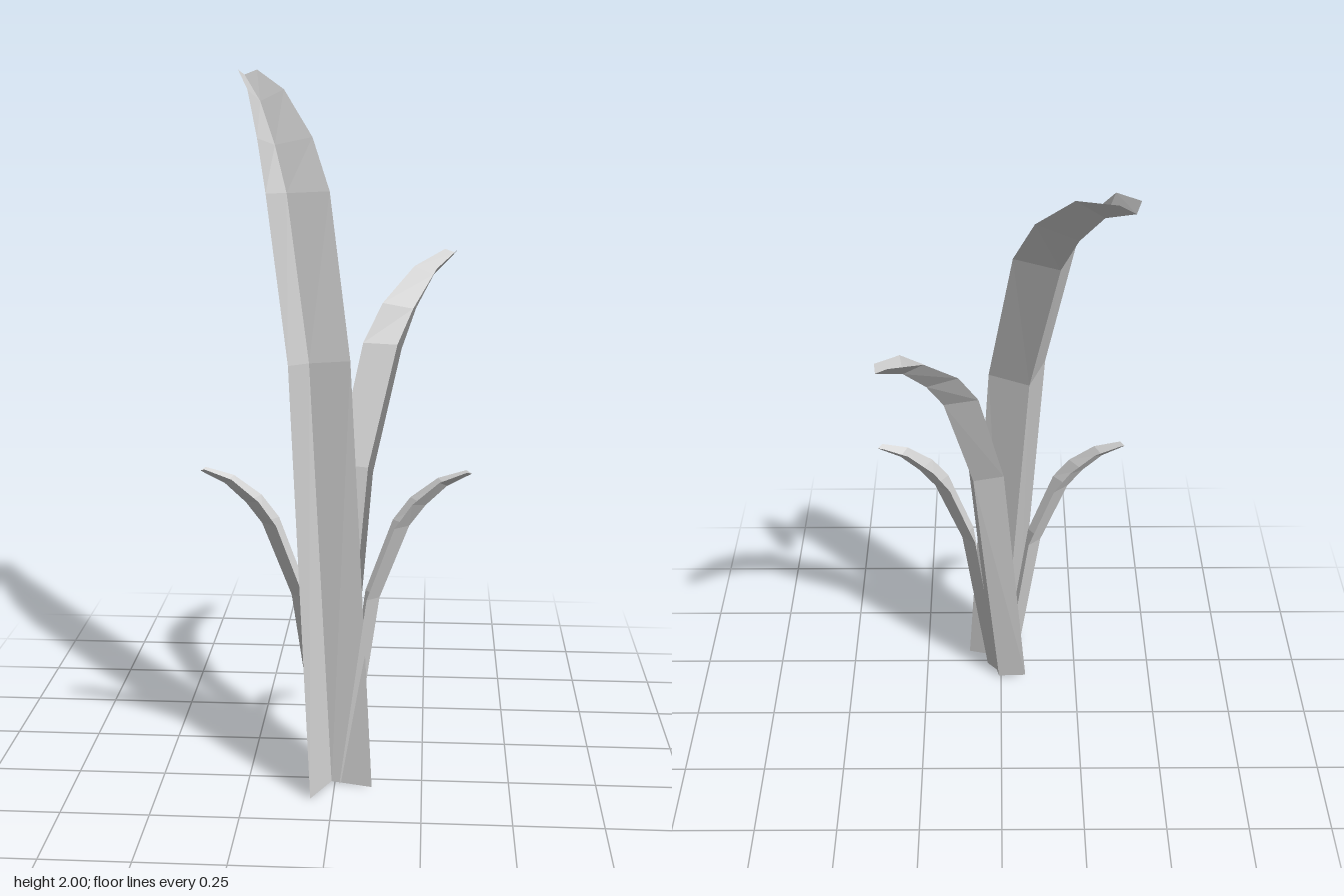
import * as THREE from 'three';

// Sections of a full-size leaf from root to tip:
// [keel reach, keel height, rim reach, rim height, half width]
const SECTIONS = [
  [0, 0, -0.076, 0, 0.094],
  [0.172, 1.20, 0.089, 1.215, 0.092],
  [0.35, 1.66, 0.255, 1.67, 0.095],
  [0.448, 1.79, 0.36, 1.815, 0.083],
  [0.576, 1.91, 0.525, 1.945, 0.056],
  [0.724, 1.985, 0.694, 2.0, 0.03],
];

const material = new THREE.MeshStandardMaterial({
  color: 0xcccccc,
  flatShading: true,
  side: THREE.DoubleSide,
});

// A V-folded blade that starts at (x, z) and arches towards (dx, dz)
function makeLeaf(name, x, z, dx, dz, scale) {
  const length = Math.hypot(dx, dz);
  const ux = dx / length, uz = dz / length;
  const positions = [], indices = [];
  const addPoint = (reach, height, side) => positions.push(
    x + (ux * reach - uz * side) * scale,
    height * scale,
    z + (uz * reach + ux * side) * scale,
  );

  // Each section has a rim, the keel and the other rim
  SECTIONS.forEach(([keelReach, keelY, rimReach, rimY, half], i) => {
    addPoint(rimReach, rimY, -half);
    addPoint(keelReach, keelY, 0);
    addPoint(rimReach, rimY, half);
    if (i === 0) return;
    for (let k = 0; k < 2; k++) {
      const a = (i - 1) * 3 + k, b = a + 3;
      indices.push(a, a + 1, b + 1, a, b + 1, b);
    }
  });

  const geometry = new THREE.BufferGeometry();
  geometry.setAttribute('position', new THREE.Float32BufferAttribute(positions, 3));
  geometry.setIndex(indices);
  geometry.computeVertexNormals();
  const leaf = new THREE.Mesh(geometry, material);
  leaf.name = name;
  return leaf;
}

export function createModel() {
  const plant = new THREE.Group();
  plant.name = 'plant';
  plant.add(
    makeLeaf('tallLeaf', -0.01, 0.27, -0.42, -0.907, 1),
    makeLeaf('mediumLeaf', 0.007, 0.175, 0.6, -0.8, 0.74),
    makeLeaf('smallLeftLeaf', 0.045, 0.237, 1, -0.08, 0.46),
    makeLeaf('smallRightLeaf', -0.047, 0.222, -1, 0, 0.46),
  );
  return plant;
}
